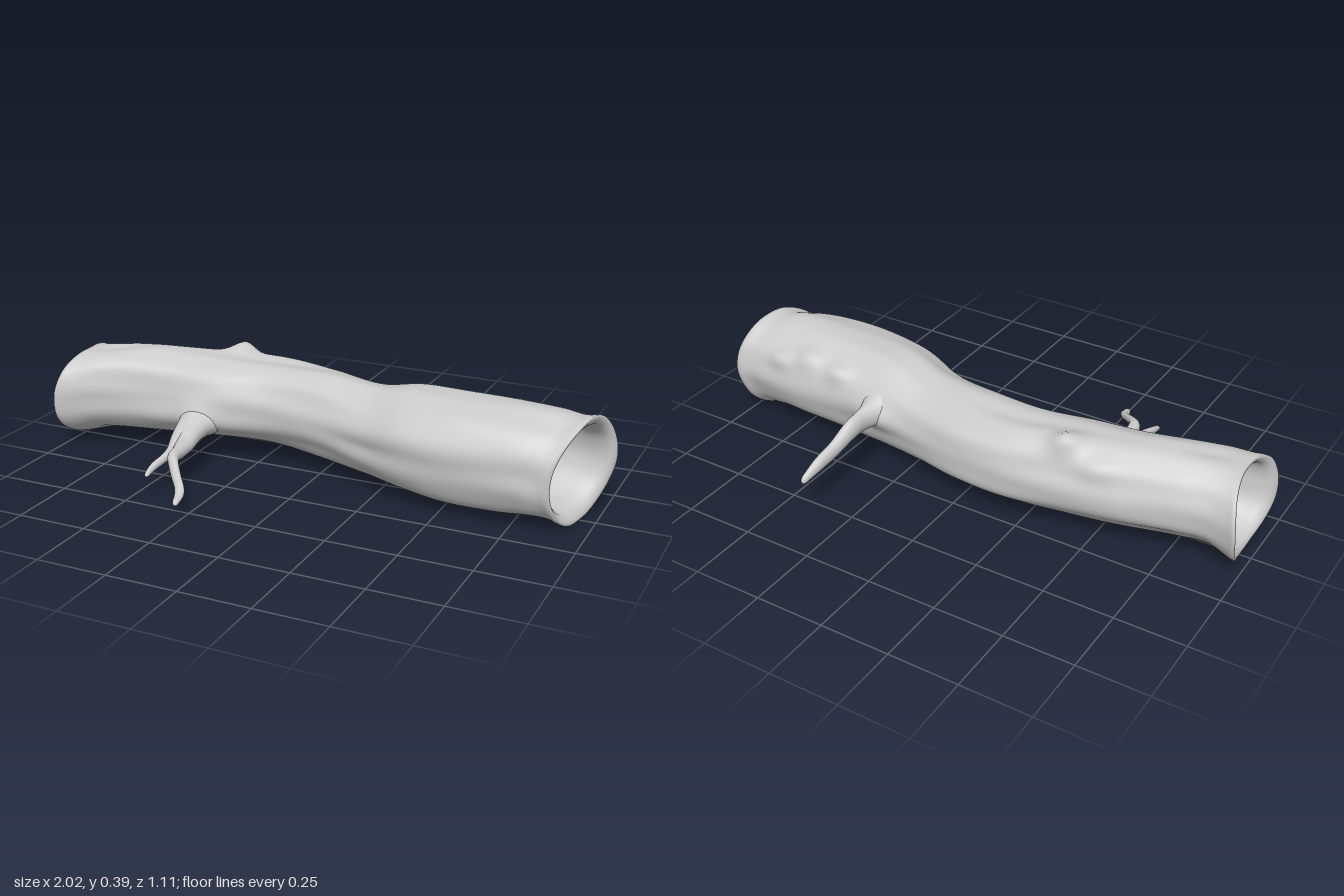
import * as THREE from 'three';

const material = new THREE.MeshStandardMaterial({ color: 0xcccccc });
const { smoothstep } = THREE.MathUtils;

// Smooth interpolation through rows of [t, ...values]
function interpolate(rows) {
  const n = rows[0].length - 1;
  const curve = new THREE.CubicInterpolant(
    rows.map(r => r[0]), rows.flatMap(r => r.slice(1)), n, new Float32Array(n));
  return t => Array.from(curve.evaluate(t));
}

// Skin a list of closed rings; closed also joins the last ring to the first
function loft(name, rings, closed = false) {
  const m = rings[0].length, index = [];
  const steps = closed ? rings.length : rings.length - 1;
  for (let i = 0; i < steps; i++) {
    const p = i * m, q = ((i + 1) % rings.length) * m;
    for (let j = 0; j < m; j++) {
      const k = (j + 1) % m;
      index.push(p + j, p + k, q + j, p + k, q + k, q + j);
    }
  }
  const geometry = new THREE.BufferGeometry();
  geometry.setAttribute('position', new THREE.Float32BufferAttribute(rings.flat(2), 3));
  geometry.setIndex(index);
  geometry.computeVertexNormals();
  const mesh = new THREE.Mesh(geometry, material);
  mesh.name = name;
  return mesh;
}

// Log outline: x, back z, front z, bottom y, top y
const outline = interpolate([
  [-0.98, -0.185, 0.20, 0.035, 0.365],
  [-0.95, -0.17, 0.185, 0.04, 0.365],
  [-0.88, -0.157, 0.155, 0.06, 0.37],
  [-0.78, -0.178, 0.12, 0.065, 0.375],
  [-0.60, -0.22, 0.085, 0.065, 0.373],
  [-0.40, -0.255, 0.075, 0.065, 0.37],
  [-0.20, -0.283, 0.04, 0.06, 0.365],
  [0.00, -0.265, 0.063, 0.055, 0.36],
  [0.20, -0.22, 0.13, 0.05, 0.35],
  [0.35, -0.195, 0.185, 0.035, 0.38],
  [0.50, -0.183, 0.21, 0.022, 0.387],
  [0.70, -0.185, 0.215, 0.028, 0.387],
  [0.84, -0.17, 0.208, 0.034, 0.38],
  [0.91, -0.16, 0.197, 0.025, 0.37],
  [0.955, -0.165, 0.20, 0.005, 0.38],
]);

// Bark knobs: x, angle from top towards the front, height, x spread, angle spread
const knobs = [
  [-0.40, -0.55, 0.042, 0.05, 0.22],
  [-0.52, -1.0, 0.015, 0.07, 0.25],
  [0.55, -0.95, 0.022, 0.05, 0.18],
  [0.68, -0.85, 0.025, 0.05, 0.2],
  [0.78, -1.05, 0.018, 0.04, 0.18],
  [-0.70, 0.1, 0.01, 0.1, 0.3],
  [0.36, -1.5, 0.025, 0.07, 0.3],
  [-0.46, 1.75, 0.022, 0.08, 0.3],
  [0.20, 1.7, -0.01, 0.15, 0.25],
];

// Bark relief: long wandering ridges plus the knobs
function relief(x, a) {
  let h = 0.004 * Math.sin(5 * a + 3 * x + Math.sin(4 * x))
    + 0.003 * Math.sin(9 * a - 4 * x + 1) * Math.sin(5 * x + 2 * a)
    + 0.003 * Math.sin(3 * a + 9 * x);
  for (const [kx, ka, height, sx, sa] of knobs) {
    const da = Math.atan2(Math.sin(a - ka), Math.cos(a - ka));
    h += height * Math.exp(-(((x - kx) / sx) ** 2) - (da / sa) ** 2);
  }
  return h;
}

function logRing(x, depth, inset) {
  const [back, front, bottom, top] = outline(x);
  const ring = [];
  for (let j = 0; j < 96; j++) {
    const a = j / 96 * Math.PI * 2, c = Math.cos(a), s = Math.sin(a);
    // Slightly squared section
    const k = (Math.abs(c) ** 2.25 + Math.abs(s) ** 2.25) ** (-1 / 2.25);
    const fade = 1 - 0.7 * smoothstep(Math.abs(x), 0.85, 0.95);
    const h = relief(x, a) * fade * (depth > 0.015 ? 0.35 : 1) - depth;
    const y = (top + bottom) / 2 + c * (k * (top - bottom) / 2 + h);
    const z = (front + back) / 2 + s * (k * (front - back) / 2 + h);
    // Broken, slanting ends
    const right = smoothstep(x, 0.65, 0.955) * (-0.058 * s + 0.012 * c + 0.008 * Math.sin(3 * a));
    const left = smoothstep(-x, 0.7, 0.98) * (0.018 * Math.cos(2 * a) + 0.01 * c);
    ring.push([x + right + left - Math.sign(x) * inset, y, z]);
  }
  return ring;
}

// Hollow log: outer skin, rounded rim, inner skin back to the start
function createLog() {
  const rings = [], x0 = -0.98, x1 = 0.955, n = 120;
  const at = i => x0 + (x1 - x0) * i / n;
  for (let i = 0; i <= n; i++) rings.push(logRing(at(i), i % n ? 0 : 0.003, i % n ? 0 : 0.002));
  rings.push(logRing(x1, 0.012, 0), logRing(x1, 0.022, 0.006));
  for (let i = n - 1; i >= 1; i--) rings.push(logRing(at(i), 0.03, 0));
  rings.push(logRing(x0, 0.022, 0.006), logRing(x0, 0.012, 0));
  return loft('hollowLog', rings, true);
}

// Branch growing along z; rows are distance, x, y, x radius, y radius
function createBranch(name, rows, direction) {
  const shape = interpolate(rows);
  const start = rows[0][0], end = rows[rows.length - 1][0], n = 48, rings = [];
  for (let i = 0; i <= n; i++) {
    const u = i / n, t = start + (end - start) * (1 - (1 - u) ** 1.4);
    const [x, y, rx, ry] = shape(t);
    // Rounded tip
    const tip = Math.sqrt(Math.max(0, 1 - Math.max(0, (t - end + 0.015) / 0.015) ** 2));
    const ring = [];
    for (let j = 0; j < 20; j++) {
      const a = direction * j / 20 * Math.PI * 2;
      ring.push([x + rx * tip * Math.cos(a), y + ry * tip * Math.sin(a), direction * t]);
    }
    rings.push(ring);
  }
  return loft(name, rings);
}

export function createModel() {
  const group = new THREE.Group();
  group.name = 'fallenLog';
  group.add(createLog());

  // Forked front branch
  group.add(createBranch('frontBranchLong', [
    [0.05, -0.455, 0.165, 0.09, 0.062],
    [0.10, -0.455, 0.155, 0.065, 0.05],
    [0.16, -0.445, 0.142, 0.05, 0.04],
    [0.22, -0.425, 0.132, 0.038, 0.03],
    [0.30, -0.405, 0.13, 0.025, 0.024],
    [0.36, -0.39, 0.132, 0.022, 0.021],
    [0.42, -0.345, 0.105, 0.021, 0.019],
    [0.48, -0.295, 0.075, 0.019, 0.015],
    [0.55, -0.275, 0.055, 0.01, 0.009],
  ], 1));
  group.add(createBranch('frontBranchShort', [
    [0.10, -0.47, 0.155, 0.05, 0.045],
    [0.20, -0.46, 0.135, 0.034, 0.03],
    [0.28, -0.443, 0.122, 0.022, 0.02],
    [0.34, -0.438, 0.118, 0.014, 0.016],
    [0.40, -0.447, 0.105, 0.012, 0.014],
    [0.45, -0.447, 0.09, 0.008, 0.009],
  ], 1));

  // Single back branch
  group.add(createBranch('backBranch', [
    [0.15, 0.355, 0.235, 0.085, 0.08],
    [0.20, 0.365, 0.235, 0.05, 0.052],
    [0.25, 0.373, 0.23, 0.029, 0.042],
    [0.32, 0.378, 0.22, 0.025, 0.038],
    [0.40, 0.39, 0.183, 0.021, 0.03],
    [0.48, 0.40, 0.16, 0.018, 0.025],
    [0.555, 0.412, 0.128, 0.01, 0.013],
  ], -1));
  return group;
}
